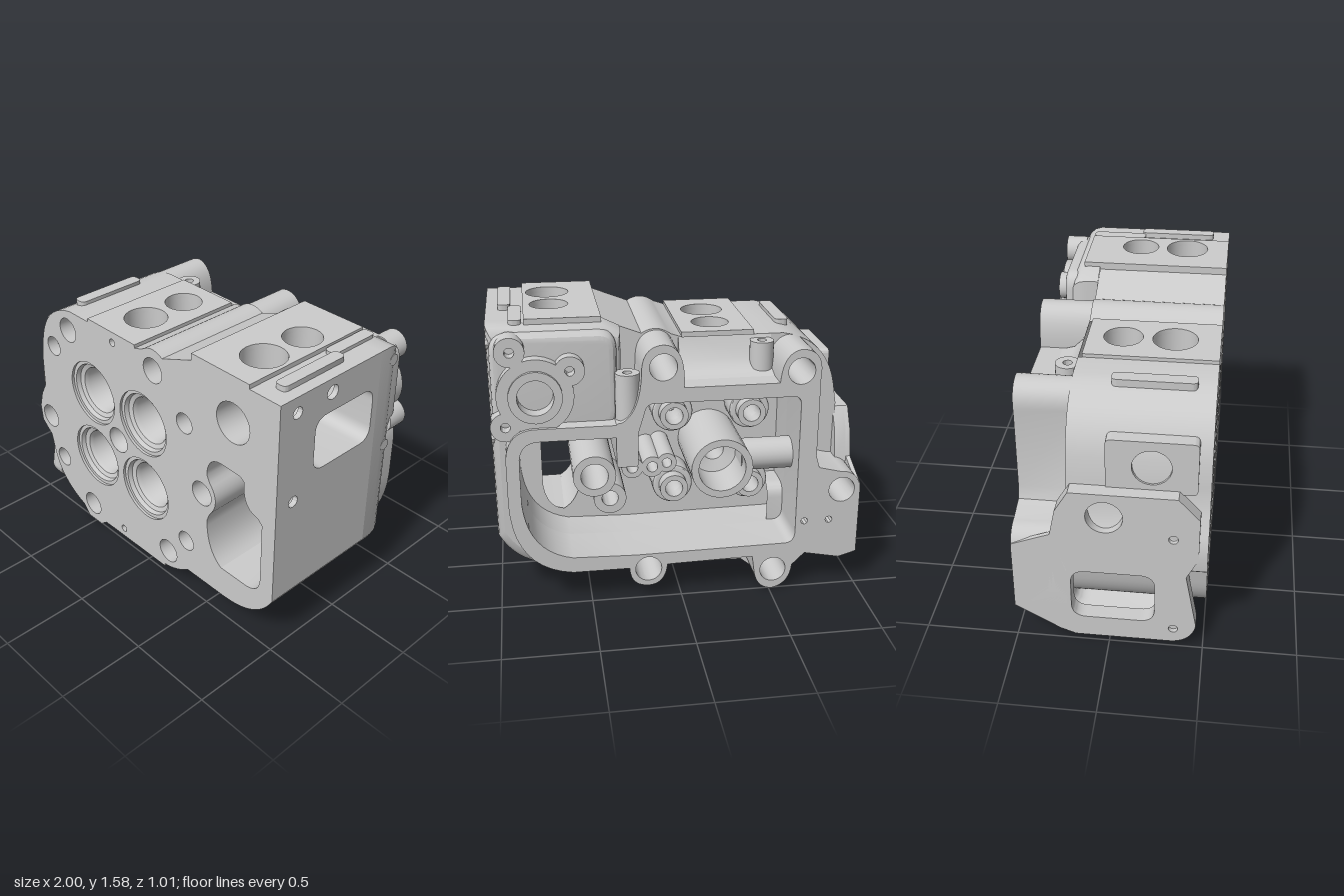
import * as THREE from 'three';
import { toCreasedNormals } from 'three/addons/utils/BufferGeometryUtils.js';

const FRONT = 0.505, MID = -0.22, BACK = -0.505, FLOOR = 0;
const mat = new THREE.MeshStandardMaterial({ color: 0xcccccc, side: THREE.DoubleSide });

// Closed outline: [x,y] is a line, [cx,cy,x,y] a curve
function outline(list) {
  const p = new THREE.Path();
  list.forEach((c, i) => {
    if (!i) p.moveTo(c[0], c[1]);
    else if (c.length === 2) p.lineTo(c[0], c[1]);
    else p.quadraticCurveTo(...c);
  });
  const pts = p.getPoints(10);
  if (pts[0].distanceTo(pts[pts.length - 1]) < 1e-4) pts.pop();
  return pts;
}
const circle = (x, y, r, n = 28) => Array.from({ length: n }, (_, i) =>
  new THREE.Vector2(x + r * Math.cos(i * 2 * Math.PI / n), y + r * Math.sin(i * 2 * Math.PI / n)));
const rect = (x0, y0, x1, y1, r) => outline([[x0 + r, y0], [x1 - r, y0], [x1, y0, x1, y0 + r], [x1, y1 - r],
  [x1, y1, x1 - r, y1], [x0 + r, y1], [x0, y1, x0, y1 - r], [x0, y0 + r], [x0, y0, x0 + r, y0]]);
const at = (pts, z) => pts.map(p => new THREE.Vector3(p.x, p.y, z));

function shapeOf(pts, holes = []) {
  const s = new THREE.Shape(pts);
  s.holes = holes.map(h => new THREE.Path(h));
  return s;
}
const extrude = (pts, holes, depth, bevel = 0) => toCreasedNormals(new THREE.ExtrudeGeometry(shapeOf(pts, holes), {
  depth, bevelEnabled: bevel > 0, bevelSize: bevel, bevelThickness: bevel, bevelOffset: -bevel, bevelSegments: 3 }), 0.5);
// Plates whose outer face looks along +x (outline in z,y) or +y (outline in x,z)
const plateX = (pts, holes, x, d) => extrude(pts, holes, d).rotateY(-Math.PI / 2).translate(x, 0, 0);
const plateY = (pts, holes, y, d) => extrude(pts, holes, d).rotateX(Math.PI / 2).translate(0, y, 0);

// Skin through matching rings of points
function loft(rings, closed = true, skip = () => false) {
  const v = [], n = rings[0].length;
  for (let k = 0; k < rings.length - 1; k++) for (let i = 0; i < (closed ? n : n - 1); i++) {
    const j = (i + 1) % n, a = rings[k][i], b = rings[k][j], c = rings[k + 1][j], d = rings[k + 1][i];
    if (skip(a, b)) continue;
    for (const p of [a, d, c, a, c, b]) v.push(p.x, p.y, p.z);
  }
  const g = new THREE.BufferGeometry();
  g.setAttribute('position', new THREE.Float32BufferAttribute(v, 3));
  return toCreasedNormals(g, 0.6);
}

export function createModel() {
  const root = new THREE.Group();
  const add = (name, geo) => {
    const m = new THREE.Mesh(geo, mat);
    m.name = name;
    root.add(m);
    return m;
  };
  const face = (name, pts, holes, z) => add(name, new THREE.ShapeGeometry(shapeOf(pts, holes)).translate(0, 0, z));

  // Main outlines
  const body = outline([[1, 0.35], [1, 1.55], [0.8, 1.55], [0.4, 1.55], [0.4, 1.535], [0.18, 1.45], [0.1, 1.5, 0.02, 1.44],
    [-0.04, 1.42], [-0.44, 1.42], [-0.6, 1.42], [-0.85, 1.38, -0.9, 1.12], [-0.92, 1], [-0.925, 0.8], [-0.97, 0.72], [-1, 0.62],
    [-0.99, 0.52], [-0.96, 0.49, -0.91, 0.45], [-0.89, 0.36], [-0.85, 0.14, -0.62, 0.06], [-0.57, 0], [-0.45, 0],
    [-0.4, 0.04], [0.15, 0.06], [0.25, 0.07, 0.35, 0.145], [0.65, 0.145], [0.9, 0.15, 1, 0.35]]);
  const cavityRight = outline([[0.25, 0.27], [0.6, 0.28], [0.84, 0.33, 0.86, 0.62], [0.86, 0.85], [0.86, 0.97, 0.75, 0.97], [0.24, 0.97]]);
  const cavity = [...cavityRight, ...outline([[0.2, 1.1], [0.19, 1.15, 0.15, 1.15], [-0.6, 1.15],
    [-0.64, 1.15, -0.64, 1.1], [-0.64, 0.35], [-0.64, 0.28, -0.58, 0.28]])];
  const rim = outline([[0.93, 0.85], [0.93, 0.62], [0.92, 0.23, 0.6, 0.19], [0.29, 0.19], [0.29, 0.08, 0.185, 0.075], [0.09, 0.08, 0.08, 0.2],
    [-0.4, 0.21], [-0.41, 0.14], [-0.42, 0, -0.52, 0], [-0.62, 0.02, -0.63, 0.14], [-0.7, 0.21], [-0.9, 0.17], [-1, 0.2],
    [-1, 0.6], [-0.98, 0.7, -0.88, 0.7], [-0.76, 0.73], [-0.74, 0.8], [-0.74, 1.25], [-0.76, 1.4, -0.635, 1.41],
    [-0.53, 1.4, -0.52, 1.23], [-0.01, 1.23], [-0.02, 1.46, 0.1, 1.465], [0.22, 1.46, 0.215, 1.3], [0.23, 1.07, 0.35, 1.04],
    [0.78, 1.04], [0.93, 1.03, 0.93, 0.85]]);
  const win = outline([[0.51, 0.9], [0.515, 1.03, 0.63, 1.025], [0.75, 1.02], [0.78, 1], [0.77, 0.84, 0.88, 0.83], [0.91, 0.8],
    [0.91, 0.45], [0.91, 0.335, 0.8, 0.335], [0.62, 0.335], [0.51, 0.4, 0.51, 0.6], [0.53, 0.65], [0.62, 0.76, 0.53, 0.86]]);
  const winInner = outline([[0.515, 0.9], [0.52, 1.02, 0.63, 1.02], [0.72, 1.02, 0.738, 0.96], [0.738, 0.5], [0.72, 0.35, 0.62, 0.34],
    [0.515, 0.4, 0.515, 0.6], [0.535, 0.65], [0.62, 0.76, 0.535, 0.86]]);

  // Hole positions
  const outerBolts = [[-0.635, 1.29], [0.1, 1.345], [0.185, 0.18], [-0.52, 0.12], [-0.895, 0.59]];
  const innerBolt = [0.47, 0.755], bolts = [...outerBolts, innerBolt], boltR = 0.073;
  const valves = [[-0.44, 0.96], [0, 0.965], [-0.44, 0.525], [0, 0.525]];
  const blind = [[-0.79, 1.125, 0.06], [0.34, 1.135, 0.06], [-0.79, 0.335, 0.06], [0.34, 0.35, 0.06],
    [-0.23, 1.375, 0.022], [-0.22, 0.1, 0.022], [0.695, 1.31, 0.115]];
  const injector = [-0.225, 0.745];
  const boltHoles = list => list.map(([x, y]) => circle(x, y, boltR));

  // Front deck, outer skin and cavity
  face('frontDeck', body, [...boltHoles(bolts), ...blind.map(b => circle(...b)), win,
    ...valves.map(([x, y]) => circle(x, y, 0.195, 40)), circle(...injector, 0.078)], FRONT);
  const open = (a, b) => (a.x > 0.999 && b.x > 0.999) || (a.y > 1.549 && b.y > 1.549 && a.x < 0.81)
    || (a.y === 1.42 && b.y === 1.42 && a.x > -0.1) || (a.y === 0.04 && b.y === 0.06);
  add('outerWall', loft([at(body, FRONT), at(body, MID)], true, open));
  face('rearShoulder', body, [cavity, ...boltHoles(outerBolts)], MID);
  add('rearRim', extrude(rim, [cavity, ...boltHoles(outerBolts), circle(-0.83, 0.41, 0.02, 8), circle(-0.69, 0.41, 0.02, 8)], MID - BACK)
    .translate(0, 0, BACK));
  add('cavityWall', loft([at(cavity, MID), at(cavity, FLOOR)]));
  face('cavityFloor', cavity, [circle(...innerBolt, boltR), winInner, circle(...injector, 0.06, 8),
    ...valves.map(([x, y]) => circle(x, y, 0.05, 8))], FLOOR);
  add('frontWindow', loft([at(win, FRONT), at(win, FLOOR)]));

  // Rounded rear block on the side with the large port, thicker at the top
  const block = outline([[0.3, 0.2], [0.3, 0.12], [0.36, 0.145], [0.65, 0.145], [0.9, 0.15, 1, 0.35], [1, 1.55], [0.4, 1.55], [0.3, 1.5], [0.3, 1.05]]);
  const inset = s => block.map(p => new THREE.Vector2(0.6 + (p.x - 0.6) * s, 0.85 + (p.y - 0.85) * s));
  add('rearBlock', loft([at(block, MID), at(block, -0.29), at(inset(0.985), -0.33), at(inset(0.95), -0.36), at(inset(0.9), -0.372)], false));
  face('rearBlockFace', [...inset(0.9), ...cavityRight.slice().reverse()], [], -0.372);
  add('upperRearBlock', extrude(rect(0.33, 0.99, 0.985, 1.52, 0.1), [], 0.12, 0.04).translate(0, 0, -0.38));

  // Through bolt columns and blind holes
  bolts.forEach(([x, y]) => add('boltBore', loft([at(circle(x, y, boltR), FRONT), at(circle(x, y, boltR), BACK)])));
  add('innerBoltColumn', extrude(circle(...innerBolt, 0.115), [circle(...innerBolt, boltR)], 0.5).translate(0, 0, BACK));
  for (const [x, y, r] of blind) {
    const depth = r > 0.1 ? 0.24 : r > 0.05 ? 0.15 : 0.08;
    add('blindHole', loft([at(circle(x, y, r), FRONT), at(circle(x, y, r), FRONT - depth)]));
    face('blindHoleEnd', circle(x, y, r), [], FRONT - depth);
  }

  // Valve seats with guides
  const seat = [[0.195, 0.505], [0.195, 0.49], [0.173, 0.49], [0.165, 0.465], [0.14, 0.455], [0.13, 0.43], [0.12, 0.28], [0.09, 0.22], [0.05, 0.2], [0.05, FLOOR]];
  for (const [x, y] of valves) {
    add('valveSeat', loft(seat.map(([r, z]) => at(circle(x, y, r, 40), z))));
    add('valveGuide', extrude(circle(x, y, 0.115), [circle(x, y, 0.05, 16)], 0.14, 0.015).translate(0, 0, -0.14));
    add('guideTip', extrude(circle(x, y, 0.08), [circle(x, y, 0.05, 16)], 0.12).translate(0, 0, -0.22));
  }
  // Central injector tube
  const sleeve = [[0.078, FRONT], [0.078, 0.47], [0.06, 0.44], [0.06, -0.2], [0.13, -0.22], [0.13, -0.48], [0.17, -0.48], [0.17, FLOOR]];
  add('injectorTube', loft(sleeve.map(([r, z]) => at(circle(...injector, r, 32), z))));
  const arm = add('injectorArm', new THREE.CylinderGeometry(0.09, 0.09, 0.3, 24).rotateZ(Math.PI / 2));
  arm.position.set(-0.5, 0.75, -0.3);
  // Small bosses and dividing rib inside the cavity
  for (const [x, y, r, z] of [[0.38, 0.565, 0.09, -0.38], [0.25, 0.72, 0.06, -0.34], [0.14, 0.72, 0.06, -0.34], [0.06, 0.74, 0.055, -0.34]])
    add('cavityBoss', extrude(circle(x, y, r), [circle(x, y, r * 0.5)], FLOOR - z).translate(0, 0, z));
  add('cavityRib', extrude(rect(0.235, 0.8, 0.35, 1.05, 0.02), [], FLOOR - BACK).translate(0, 0, BACK));

  // Side face with large port
  const portAt = (x, s) => rect(-0.18, 1.05, 0.25, 1.36, 0.08).map(p =>
    new THREE.Vector3(x, 1.205 + (p.y - 1.205) * s, 0.035 + (p.x - 0.035) * s));
  add('sideFace', plateX(outline([[MID, 0.35], [FRONT, 0.35], [FRONT, 1.55], [MID, 1.55]]), [rect(-0.18, 1.05, 0.25, 1.36, 0.08),
    circle(0.385, 1.46, 0.033, 12), circle(0.385, 0.94, 0.033, 12), circle(0.14, 1.47, 0.04, 16)], 1, 0.03));
  add('sidePort', loft([portAt(1, 1), portAt(0.75, 0.96), portAt(0.42, 0.9), portAt(0.34, 0.7), portAt(0.31, 0.01)]));
  for (const y of [0.94, 1.46]) add('sideBoltSeat', plateX(circle(-0.325, y, 0.033, 8), [], 1, 0.03));

  // Top and bottom pads with bores
  const bore = (x, z, r, y0, y1) => {
    const m = add('padBore', new THREE.CylinderGeometry(r, r, Math.abs(y1 - y0), 28, 1, true));
    m.position.set(x, (y0 + y1) / 2, z);
    const end = add('padBoreEnd', new THREE.CircleGeometry(r, 28).rotateX(y1 < y0 ? -Math.PI / 2 : Math.PI / 2));
    end.position.set(x, y1, z);
  };
  for (const [x0, x1, z0, y, cx, end] of [[-0.44, -0.04, -0.2, 1.44, -0.23, 1.22], [0.4, 0.8, -0.31, 1.575, 0.66, 1.43]]) {
    add('topPad', plateY(outline([[x0, z0], [x1, z0], [x1, FRONT], [x0, FRONT]]), [circle(cx, -0.01, 0.105), circle(cx, 0.265, 0.12)], y, 0.03));
    bore(cx, -0.01, 0.105, y, end);
    bore(cx, 0.265, 0.12, y, end);
  }
  add('bottomPad', plateY(outline([[-0.4, MID], [0.15, MID], [0.15, FRONT], [-0.4, FRONT]]), [circle(-0.05, 0.12, 0.1)], 0.065, 0.022));
  bore(-0.05, 0.12, 0.1, 0.045, 0.24);

  // Top ribs and lugs
  add('topRib', plateY(rect(-0.68, -0.02, -0.605, 0.41, 0.03), [], 1.44, 0.08));
  add('topRib', plateY(rect(0.81, -0.31, 0.88, 0, 0.03), [], 1.57, 0.04));
  add('topRib', plateY(rect(0.865, -0.02, 0.935, 0.41, 0.03), [], 1.58, 0.04));
  add('topLug', plateY(circle(-0.47, -0.27, 0.065), [circle(-0.47, -0.27, 0.025, 12)], 1.4, 0.2));
  add('topLug', plateY(circle(0.28, -0.42, 0.065), [circle(0.28, -0.42, 0.025, 12)], 1.3, 0.26));
  // Sloped fillet behind the top pad
  const step = y => outline([[-0.02, 1.2], [-0.02, y], [-0.53, y], [-0.53, 1.2]]);
  add('padFillet', loft([at(step(1.42), MID), at(step(1.3), -0.26), at(step(1.25), -0.31), at(step(1.23), -0.38)], false));

  // Lobed round flange on the rear block
  const fx = 0.76, fy = 1.21;
  add('rearFlange', extrude(circle(fx, fy, 0.2, 40), [circle(fx, fy, 0.095)], 0.12).translate(0, 0, -0.485));
  add('rearFlangeCollar', extrude(circle(fx, fy, 0.14), [circle(fx, fy, 0.095)], 0.12).translate(0, 0, BACK));
  for (const [x, y] of [[0.88, 1.45], [0.92, 1.05], [0.58, 1.34]])
    add('flangeLobe', extrude(circle(x, y, 0.078), [circle(x, y, 0.026, 12)], 0.12).translate(0, 0, -0.485));

  // Opposite side: port flange with thicker ends, duct and pad
  const portHole = rect(-0.2, 0.16, 0.24, 0.47, 0.08), roundHole = circle(-0.02, 0.83, 0.095);
  add('portFlange', plateX(outline([[-0.5, 0.2], [-0.26, 0.06], [-0.18, 0.03], [0.33, 0.03], [0.44, 0.04, 0.46, 0.15], [0.4, 0.48], [0.46, 0.6],
    [0.46, 0.85], [0.35, 0.97], [-0.2, 0.97], [-0.27, 0.85], [-0.3, 0.7], [-0.5, 0.62]]),
  [portHole, roundHole, circle(0.34, 0.12, 0.025, 12), circle(-0.3, 0.3, 0.025, 12), circle(0.33, 0.72, 0.025, 12)], -0.975, 0.025));
  add('portFlangeFoot', plateX(outline([[-0.48, 0.2], [-0.26, 0.06], [-0.18, 0.03], [0.33, 0.03], [0.44, 0.04, 0.46, 0.15], [0.4, 0.48], [0.39, 0.51], [-0.48, 0.51]]),
    [portHole], -0.91, 0.065));
  add('portFlangeHead', plateX(outline([[0.46, 0.67], [0.46, 0.85], [0.35, 0.97], [-0.2, 0.97], [-0.27, 0.85], [-0.3, 0.67]]), [roundHole], -0.91, 0.065));
  const duct = (x, y0, y1, z0, z1) => rect(z0, y0, z1, y1, 0.08).map(p => new THREE.Vector3(x, p.y, p.x));
  add('portDuct', loft([duct(-0.92, 0.07, 0.51, -0.26, 0.3), duct(-0.8, 0.1, 0.5, -0.21, 0.28), duct(-0.55, 0.2, 0.5, -0.2, 0.25)]));
  add('sidePad', plateX(rect(-0.02, 0.95, 0.44, 1.25, 0.03), [circle(0.21, 1.1, 0.1)], -0.8, 0.13));
  return root;
}
